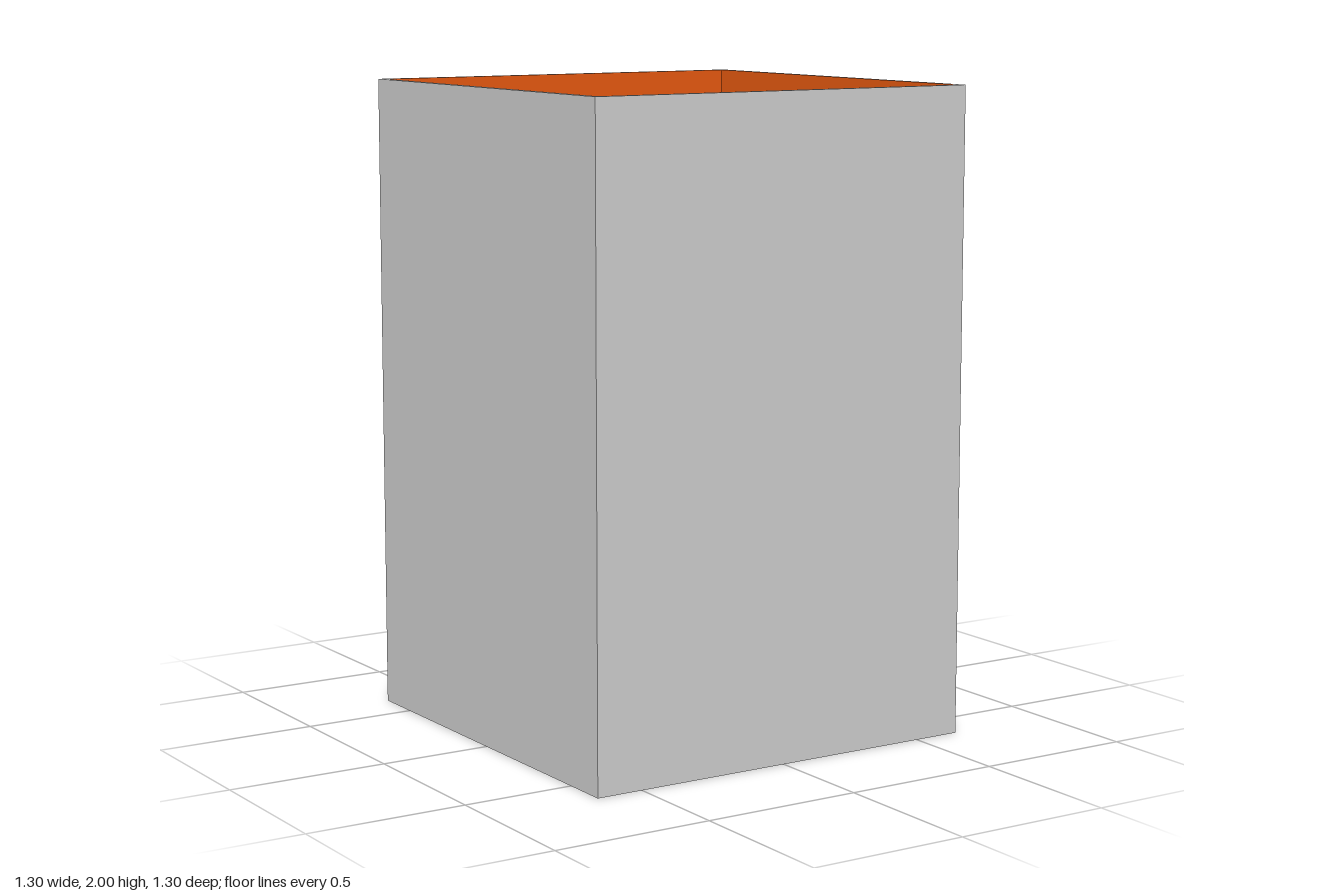
import * as THREE from 'three';

const HEIGHT = 2;
const OUTER = 0.65;
const INNER = 0.632;
const FRAME = 0.624;

const grey = new THREE.MeshStandardMaterial({ color: 0xcccccc });
const orange = new THREE.MeshStandardMaterial({ color: 0xe45810 });
const black = new THREE.MeshStandardMaterial({ color: 0x0c0c0c });
const faceted = new THREE.MeshStandardMaterial({ color: 0xcccccc, flatShading: true });

function squarePoints(r) {
  return [[-r, -r], [r, -r], [r, r], [-r, r]].map(([x, y]) => new THREE.Vector2(x, y));
}

// Open square sleeve standing on the ground
function sleeve(name, outer, inner, material) {
  const shape = new THREE.Shape(squarePoints(outer));
  shape.holes.push(new THREE.Path(squarePoints(inner).reverse()));
  const geometry = new THREE.ExtrudeGeometry(shape, { depth: HEIGHT, bevelEnabled: false });
  geometry.rotateX(-Math.PI / 2);
  const mesh = new THREE.Mesh(geometry, material);
  mesh.name = name;
  return mesh;
}

// Horizontal rod centred at (x, y, z), turned about the vertical axis
function rod(name, length, radius, x, y, z, turn) {
  const geometry = new THREE.CylinderGeometry(radius, radius, length, 8);
  geometry.rotateZ(Math.PI / 2);
  const mesh = new THREE.Mesh(geometry, black);
  mesh.position.set(x, y, z);
  mesh.rotation.y = turn;
  mesh.name = name;
  return mesh;
}

export function createModel() {
  const model = new THREE.Group();
  model.name = 'lampshade';

  // Shade walls with a coloured lining
  model.add(sleeve('shade', OUTER, INNER, grey));
  model.add(sleeve('lining', INNER, INNER - 0.002, orange));

  // Wire frame around the lower opening
  const frame = new THREE.Group();
  frame.name = 'bottomFrame';
  for (let i = 0; i < 4; i++) {
    const a = (i * Math.PI) / 2;
    frame.add(rod('frameRod', FRAME * 2, 0.008, Math.sin(a) * FRAME, 0.008, Math.cos(a) * FRAME, a));
  }
  // Thin diagonal wires crossing at the centre
  for (const side of [-1, 1]) {
    frame.add(rod('diagonalWire', FRAME * 2 * Math.SQRT2, 0.0015, 0, 0.008, 0, (side * Math.PI) / 4));
  }
  model.add(frame);

  // Faceted bulb, one vertex pointing up
  const ball = new THREE.IcosahedronGeometry(0.148, 3);
  ball.rotateZ(-Math.atan(2 / (1 + Math.sqrt(5))));
  const bulb = new THREE.Mesh(ball, faceted);
  bulb.position.y = 0.195;
  bulb.name = 'bulb';
  model.add(bulb);

  return model;
}
